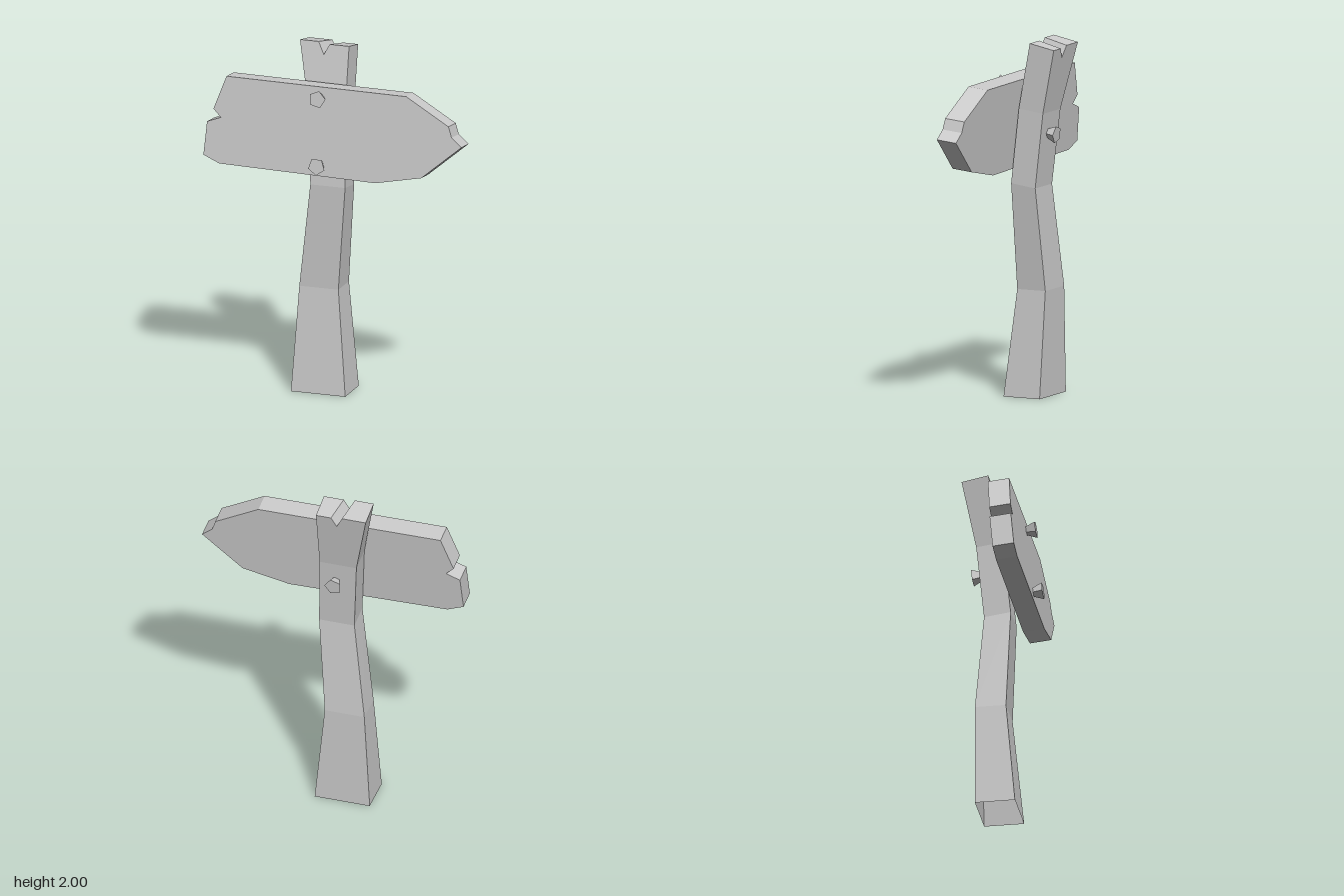
import * as THREE from 'three';

const grey = new THREE.MeshStandardMaterial({ color: 0xcccccc, flatShading: true });
const greyOpen = new THREE.MeshStandardMaterial({ color: 0xcccccc, flatShading: true, side: THREE.DoubleSide });

function part(name, geometry, material = grey) {
  const mesh = new THREE.Mesh(geometry, material);
  mesh.name = name;
  return mesh;
}

const shapeOf = (points) => new THREE.Shape(points.map(([x, y]) => new THREE.Vector2(x, y)));

// Four-sided crooked shaft, open at the bottom
function shaftGeometry() {
  // left x, right x, front z, back z, front y, back y
  const rings = [
    [-0.27, 0.05, 0.085, -0.14, 0, 0],
    [-0.24, -0.01, 0.03, -0.145, 0.6, 0.6],
    [-0.17, 0.035, 0.045, -0.105, 1.2, 1.18],
    [-0.194, 0.02, 0.005, -0.145, 1.62, 1.6],
  ].map(([l, r, f, b, yf, yb]) => [[l, yf, f], [r, yf, f], [r, yb, b], [l, yb, b]]);
  const position = [];
  for (let k = 0; k < rings.length - 1; k++) {
    for (let i = 0; i < 4; i++) {
      const j = (i + 1) % 4;
      const [a, b, c, d] = [rings[k][i], rings[k][j], rings[k + 1][j], rings[k + 1][i]];
      position.push(...a, ...b, ...c, ...a, ...c, ...d);
    }
  }
  const geometry = new THREE.BufferGeometry();
  geometry.setAttribute('position', new THREE.Float32BufferAttribute(position, 3));
  geometry.computeVertexNormals();
  return geometry;
}

// Split top of the post, leaning backwards
function postTopGeometry() {
  const outline = [[-0.194, 1.62], [0.02, 1.62], [0.02, 1.99], [-0.095, 1.99], [-0.125, 1.93], [-0.16, 2], [-0.27, 2]];
  const geometry = new THREE.ExtrudeGeometry(shapeOf(outline), { depth: 1, bevelEnabled: false });
  const p = geometry.attributes.position;
  for (let i = 0; i < p.count; i++) {
    const x = p.getX(i), y = p.getY(i), back = p.getZ(i) < 0.5;
    const t = (y - 1.62) / 0.38;
    const inNotch = y > 1.8 && x > -0.2 && x < 0;
    p.setXYZ(i,
      x + (back && inNotch ? 0.028 : 0),
      y - (back ? 0.02 + 0.01 * t : 0),
      (back ? -0.145 : 0.005) - 0.07 * t);
  }
  geometry.computeVertexNormals();
  return geometry;
}

// Five-sided nail that widens towards its head; it points along +z
function nail(name, x, y, z, turn) {
  const geometry = new THREE.CylinderGeometry(0.05, 0.022, 0.065, 5, 1, false, turn);
  geometry.rotateX(Math.PI / 2).translate(0, 0, 0.022);
  const mesh = part(name, geometry);
  mesh.position.set(x, y, z);
  return mesh;
}

export function createModel() {
  const model = new THREE.Group();
  model.name = 'signpost';

  const post = new THREE.Group();
  post.name = 'post';
  post.add(part('postShaft', shaftGeometry(), greyOpen), part('postTop', postTopGeometry()));
  model.add(post);

  // Arrow board, tilted back; its origin is the lower front edge
  const tilt = 0.1, baseY = 1.285, baseZ = 0.165;
  const outline = [
    [-0.64, 1.8], [-0.71, 1.61], [-0.665, 1.565], [-0.745, 1.535], [-0.76, 1.345], [-0.665, 1.305],
    [0.255, 1.285], [0.525, 1.34], [0.755, 1.535], [0.695, 1.585], [0.675, 1.645], [0.42, 1.79],
  ].map(([x, y]) => [x, (y - baseY) / Math.cos(tilt)]);
  const boardGeometry = new THREE.ExtrudeGeometry(shapeOf(outline), { depth: 0.12, bevelEnabled: false });
  boardGeometry.translate(0, 0, -0.12);

  const sign = new THREE.Group();
  sign.name = 'sign';
  sign.position.set(0, baseY, baseZ);
  sign.rotation.x = -tilt;
  sign.add(
    part('arrowBoard', boardGeometry),
    nail('upperNail', -0.085, 0.45, 0, 0.4),
    nail('lowerNail', -0.075, 0.07, 0, 0),
  );
  model.add(sign);

  // Nail on the rear of the post
  const rearNail = nail('rearNail', -0.07, 1.48, -0.131, 0.3);
  rearNail.rotation.x = Math.PI - 0.1;
  model.add(rearNail);

  return model;
}
